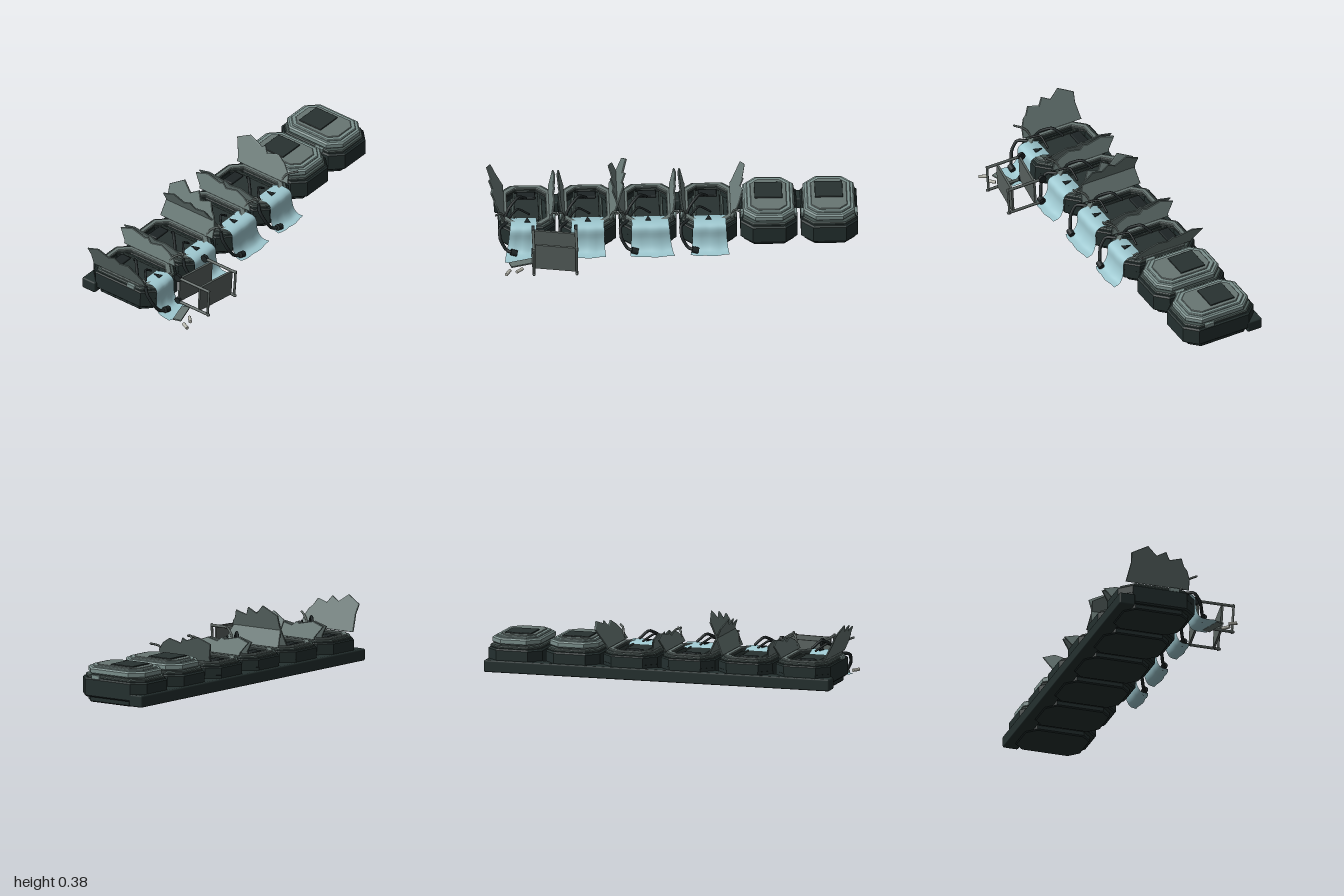
import * as THREE from 'three';
import { RoundedBoxGeometry } from 'three/addons/geometries/RoundedBoxGeometry.js';

const mat = (name, color, double) => new THREE.MeshStandardMaterial({
  name, color, side: double ? THREE.DoubleSide : THREE.FrontSide });
const M = {
  body: mat('dark hull', 0x24302f),
  rim: mat('rim grey', 0x44524f),
  lid: mat('lid grey', 0x7c908d),
  top: mat('lid top grey', 0x687673),
  panel: mat('dark panel', 0x283231),
  shard: mat('broken lid grey', 0x697976),
  sheet: mat('pale blue sheet', 0x9fc9d1, true),
  steel: mat('steel', 0x59625f),
  rubber: mat('rubber', 0x1d2425),
  vial: mat('pale vial', 0xb8b8ae),
};

const CZ = -0.127; // middle of each pod in depth

function mesh(parent, name, geo, material, x = 0, y = 0, z = 0) {
  const m = new THREE.Mesh(geo, material);
  m.name = name;
  m.position.set(x, y, z);
  parent.add(m);
  return m;
}

// Rectangle with cut corners
function octagon(w, d, c, T = THREE.Shape) {
  const a = w / 2, b = d / 2;
  return new T([[a - c, -b], [a, -b + c], [a, b - c], [a - c, b], [-a + c, b],
    [-a, b - c], [-a, -b + c], [-a + c, -b]].map(p => new THREE.Vector2(...p)));
}

// Upright slab of that outline, bevelled, from y0 to y1, with an optional opening
function slab(parent, name, material, w, d, c, y0, y1, bevel = 0.006, hole) {
  const s = octagon(w - 2 * bevel, d - 2 * bevel, c);
  if (hole) s.holes.push(octagon(...hole, THREE.Path));
  const g = new THREE.ExtrudeGeometry(s, { depth: y1 - y0 - 2 * bevel, bevelEnabled: bevel > 0,
    bevelSize: bevel, bevelThickness: bevel, bevelSegments: 1 });
  g.rotateX(-Math.PI / 2);
  return mesh(parent, name, g, material, 0, y0 + bevel, CZ);
}

function tube(parent, name, pts, r, material) {
  const path = new THREE.CatmullRomCurve3(pts.map(p => new THREE.Vector3(...p)), false, 'catmullrom', 0.3);
  mesh(parent, name, new THREE.TubeGeometry(path, 14, r, 8), material);
  [pts[0], pts[pts.length - 1]].forEach(p =>
    mesh(parent, name + 'End', new THREE.SphereGeometry(r, 8, 6), material, ...p));
}

// Jagged lid pieces as [z, y] outlines
const TALL = [[0.045, 0.17], [0.04, 0.23], [0.02, 0.28], [0, 0.3], [-0.02, 0.345], [-0.085, 0.325],
  [-0.11, 0.37], [-0.16, 0.34], [-0.215, 0.39], [-0.3, 0.34], [-0.295, 0.28], [-0.31, 0.17]];
const LOW = [[0.045, 0.17], [0.035, 0.205], [-0.01, 0.25], [-0.065, 0.28], [-0.135, 0.26],
  [-0.16, 0.292], [-0.18, 0.28], [-0.27, 0.308], [-0.342, 0.275], [-0.3, 0.19], [-0.3, 0.17]];

// Plate standing at x, leaning sideways by lean per unit of height
function shard(parent, outline, x, lean, scale) {
  const s = new THREE.Shape(outline.map(([z, y]) => new THREE.Vector2(-z, (y - 0.17) * scale)));
  const g = new THREE.ExtrudeGeometry(s, { depth: 0.005, bevelEnabled: true, bevelSize: 0.002,
    bevelThickness: 0.002, bevelSegments: 1 });
  g.rotateY(Math.PI / 2);
  const p = g.attributes.position;
  for (let i = 0; i < p.count; i++) p.setX(i, p.getX(i) + p.getY(i) * lean);
  g.computeVertexNormals();
  mesh(parent, 'lidShard', g, M.shard, x - 0.003, 0.165, 0);
}

// Sheet that runs over the front edge and down to the floor
function sheet(parent, dx, reach, halfWidth, skew) {
  const prof = [[-0.03, 0.142], [0.03, 0.16], [0.075, 0.157], [0.096, 0.137], [0.1, 0.08],
    [0.113, 0.04], [0.135, 0.016], [reach, 0.01]];
  const curve = new THREE.CatmullRomCurve3(prof.map(([z, y]) => new THREE.Vector3(0, y, z)));
  const g = new THREE.PlaneGeometry(2, 1, 8, 24), p = g.attributes.position;
  for (let i = 0; i < p.count; i++) {
    const u = p.getX(i), t = 0.5 - p.getY(i), q = curve.getPoint(t);
    const w = halfWidth * (0.82 + 0.18 * t * t);
    const wave = Math.sin(u * 7) * 0.003 * t;
    p.setXYZ(i, u * w + skew * t * t, q.y + Math.abs(wave) * 0.6, q.z + wave - 0.012 * u * u * t * t);
  }
  g.computeVertexNormals();
  mesh(parent, 'drapedSheet', g, M.sheet, dx, 0, 0);
}

function pod(x, open) {
  const g = new THREE.Group();
  g.name = open ? 'openPod' : 'closedPod';
  g.position.x = x;
  slab(g, 'plinth', M.body, 0.27, 0.37, 0.05, 0.003, 0.036);
  const opening = [0.2, 0.33, 0.05];
  slab(g, 'hull', M.body, 0.306, 0.435, 0.06, 0.032, open ? 0.1 : 0.136, 0.008);
  if (open) slab(g, 'hullWall', M.body, 0.306, 0.435, 0.06, 0.085, 0.136, 0.006, [0.22, 0.35, 0.055]);
  slab(g, 'rim', M.rim, 0.285, 0.405, 0.055, 0.134, 0.151, 0.005, open && [0.22, 0.34, 0.055]);
  for (const s of [-1, 1])
    mesh(g, 'latch', new RoundedBoxGeometry(0.016, 0.024, 0.056, 1, 0.004), M.lid, s * 0.145, 0.142, -0.043);
  if (!open) {
    slab(g, 'lidBand', M.lid, 0.275, 0.385, 0.06, 0.154, 0.191, 0.008);
    slab(g, 'lidStep', M.lid, 0.235, 0.34, 0.05, 0.185, 0.2, 0.004);
    slab(g, 'lidTop', M.top, 0.195, 0.295, 0.04, 0.195, 0.205, 0.003);
    mesh(g, 'lidPanel', new RoundedBoxGeometry(0.15, 0.011, 0.148, 1, 0.003), M.panel, 0, 0.206, -0.162);
    return g;
  }
  // Inside: raised lip, bed and cushions
  slab(g, 'innerLip', M.top, 0.262, 0.375, 0.055, 0.148, 0.16, 0.004, [0.215, 0.33, 0.05]);
  slab(g, 'bedFrame', M.rim, 0.17, 0.3, 0.04, 0.095, 0.128, 0.004);
  mesh(g, 'bed', new RoundedBoxGeometry(0.13, 0.03, 0.25, 1, 0.006), M.panel, 0, 0.13, -0.14);
  mesh(g, 'pillow', new RoundedBoxGeometry(0.1, 0.014, 0.06, 1, 0.005), M.rubber, 0, 0.148, -0.23);
  for (const s of [-1, 1]) {
    mesh(g, 'bedRail', new THREE.BoxGeometry(0.008, 0.016, 0.24), M.rim, s * 0.068, 0.142, -0.14);
    tube(g, 'hingeStub', [[s * 0.125, 0.16, 0], [s * 0.135, 0.2, 0.018], [s * 0.148, 0.222, 0.045],
      [s * 0.17, 0.23, 0.075]], 0.006, M.steel);
  }
  // Bent arm over the bed and the loose hose at the front corner
  tube(g, 'arm', [[-0.12, 0.15, -0.02], [-0.095, 0.2, -0.04], [-0.045, 0.236, -0.09],
    [-0.005, 0.2, -0.13]], 0.008, M.rubber);
  tube(g, 'armLink', [[-0.095, 0.18, 0.02], [-0.05, 0.205, -0.02], [0.01, 0.165, -0.03]], 0.006, M.rubber);
  tube(g, 'hose', [[-0.11, 0.15, 0.03], [-0.15, 0.14, 0.07], [-0.145, 0.09, 0.105],
    [-0.115, 0.04, 0.125], [-0.08, 0.032, 0.145]], 0.009, M.rubber);
  mesh(g, 'hoseNozzle', new THREE.CylinderGeometry(0.017, 0.017, 0.035, 12), M.rubber,
    -0.075, 0.034, 0.145).rotation.z = Math.PI / 2 - 0.3;
  const tear = new THREE.Shape([[-0.016, -0.02], [0.016, -0.02], [0, 0.025]].map(p => new THREE.Vector2(...p)));
  mesh(g, 'tear', new THREE.ExtrudeGeometry(tear, { depth: 0.006, bevelEnabled: false }), M.rubber,
    0, 0.159, 0.025).rotation.x = -Math.PI / 2;
  return g;
}

function cart() {
  const g = new THREE.Group();
  g.name = 'tippedCart';
  for (const x of [-0.752, -0.522]) {
    for (const y of [0.03, 0.183])
      tube(g, 'cartRail', [[x, y, 0.135], [x, y, 0.24], [x, y, 0.352]], 0.008, M.steel);
    tube(g, 'cartPost', [[x, 0.188, 0.354], [x, 0.105, 0.349], [x, 0.025, 0.343]], 0.007, M.steel);
    mesh(g, 'cartWheel', new THREE.CylinderGeometry(0.022, 0.022, 0.016, 16), M.rubber,
      x, 0.182, 0.143).rotation.z = Math.PI / 2;
    mesh(g, 'cartWheel', new THREE.CylinderGeometry(0.018, 0.018, 0.016, 16), M.rubber,
      x, 0.036, 0.143).rotation.z = Math.PI / 2;
  }
  for (const z of [0.168, 0.305]) {
    const shelf = mesh(g, 'cartShelf', new THREE.BoxGeometry(0.235, 0.156, 0.012), M.steel, -0.637, 0.106, z);
    shelf.rotation.set(0.05, -0.16, 0);
  }
  return g;
}

export function createModel() {
  const model = new THREE.Group();
  model.name = 'podRow';
  // Rail behind the pods
  mesh(model, 'backRail', new RoundedBoxGeometry(1.95, 0.065, 0.088, 1, 0.008), M.body, 0.025, 0.041, -0.316);

  const pods = [];
  for (let i = 0; i < 6; i++) {
    const p = pod(-0.78 + i * 0.325, i < 4);
    pods.push(p);
    model.add(p);
  }
  // Broken lid halves: pod, side, outline, lean, scale
  [[0, -1, TALL, 0.47, 0.82], [0, 1, LOW, 0.33, 0.66], [1, -1, LOW, 0.33, 0.66], [1, 1, TALL, 0.4, 1],
    [2, -1, TALL, 0.45, 0.82], [2, 1, LOW, 0.33, 0.66], [3, -1, LOW, 0.33, 0.66], [3, 1, LOW, 0.53, 1]]
    .forEach(([i, side, outline, lean, k]) => shard(pods[i], outline, side * 0.125, side * lean, k));
  // Sheets: offset, reach, half width, skew
  [[-0.02, 0.215, 0.085, -0.02], [0.0, 0.175, 0.105, -0.01], [0.01, 0.175, 0.12, 0.01], [0.005, 0.172, 0.105, 0]]
    .forEach((a, i) => sheet(pods[i], ...a));

  // Crumpled scrap, cart and spilled vials
  const scrap = mesh(model, 'scrap', new THREE.BoxGeometry(0.13, 0.008, 0.045), M.top, -0.815, 0.014, 0.215);
  scrap.rotation.y = 0.3;
  model.add(cart());
  [[-0.89, 0.302, -0.45], [-0.828, 0.283, -0.8]].forEach(([x, z, turn]) => {
    const geo = new THREE.CylinderGeometry(0.009, 0.009, 0.046, 12).rotateX(Math.PI / 2);
    mesh(model, 'vial', geo, M.vial, x, 0.012, z).rotation.y = turn;
  });
  return model;
}
